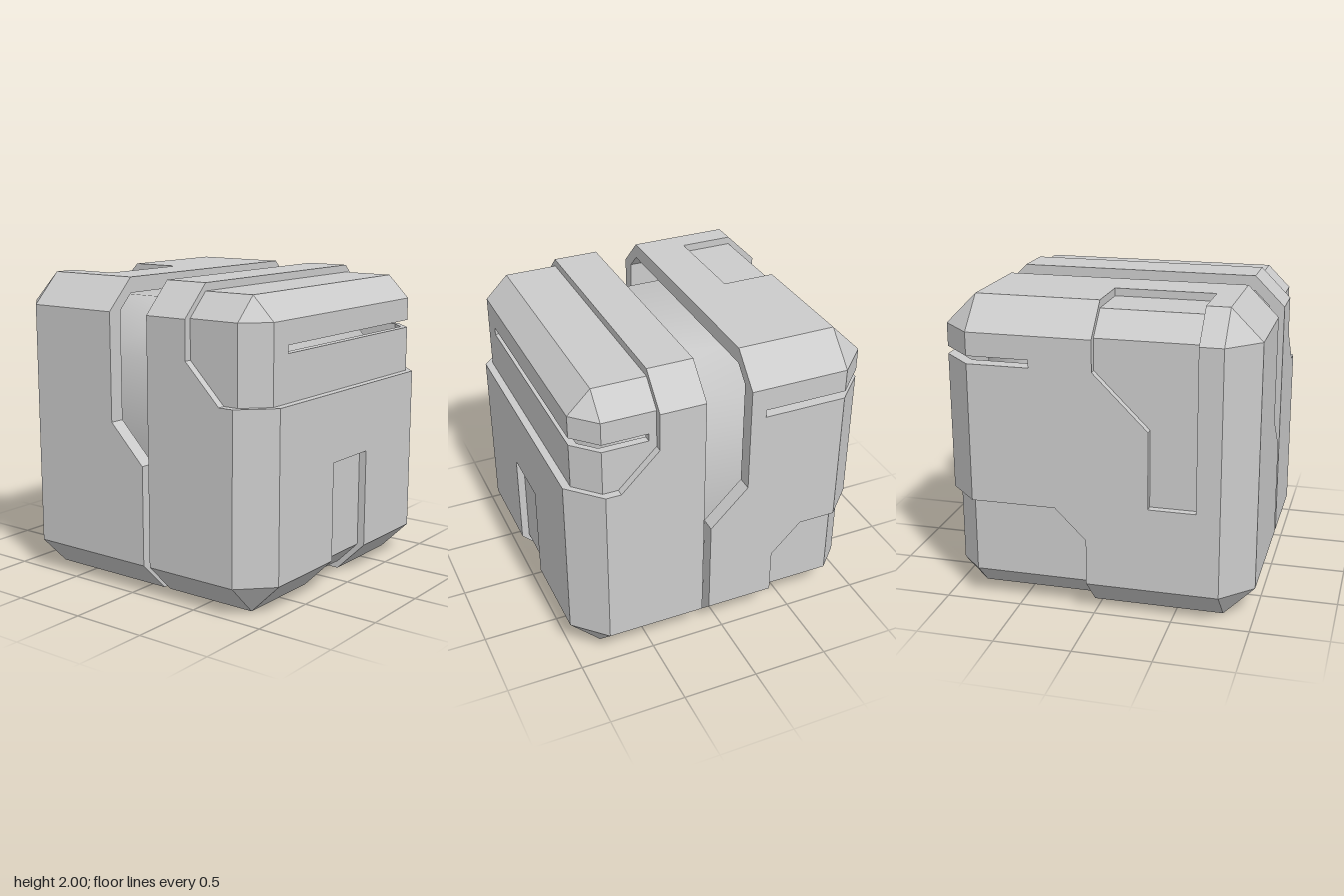
import * as THREE from 'three';
import { mergeVertices } from 'three/addons/utils/BufferGeometryUtils.js';
import { ConvexGeometry } from 'three/addons/geometries/ConvexGeometry.js';

const F = 0.8;        // half size of the flat part of every side
const INNER = 0.9;    // half size of the hollow inside the shell
const SUNK = 0.05;    // depth of the sunken panels

const shellMaterial = new THREE.MeshStandardMaterial({ color: 0xcccccc, flatShading: true });
const coreMaterial = new THREE.MeshStandardMaterial({ color: 0xcccccc });
const axes = [new THREE.Vector3(1, 0, 0), new THREE.Vector3(0, 1, 0), new THREE.Vector3(0, 0, 1)];

// Each side: u axis, v axis, normal, and the sign/shift that turns plan coordinates into u, v
const sides = {
  front: { u: [1, 0, 0], v: [0, 1, 0], n: [0, 0, 1], su: 1, sv: 1, dv: -1 },    // (x, y)
  back: { u: [-1, 0, 0], v: [0, 1, 0], n: [0, 0, -1], su: -1, sv: 1, dv: -1 },  // (x, y)
  left: { u: [0, 0, -1], v: [0, 1, 0], n: [1, 0, 0], su: -1, sv: 1, dv: -1 },   // (z, y)
  right: { u: [0, 0, 1], v: [0, 1, 0], n: [-1, 0, 0], su: 1, sv: 1, dv: -1 },   // (z, y)
  top: { u: [1, 0, 0], v: [0, 0, -1], n: [0, 1, 0], su: 1, sv: -1, dv: 0 },     // (x, z)
  bottom: { u: [1, 0, 0], v: [0, 0, 1], n: [0, -1, 0], su: 1, sv: 1, dv: 0 },   // (x, z)
};

function extrude(points, depth) {
  const shape = new THREE.Shape(points.map(p => new THREE.Vector2(...p)));
  return new THREE.ExtrudeGeometry(shape, { depth, bevelEnabled: false });
}

function add(parent, name, geometry, material = shellMaterial) {
  const mesh = new THREE.Mesh(geometry, material);
  mesh.name = name;
  parent.add(mesh);
}

// Flat plate on one side of the shell
function plate(parent, name, side, points, sunk = 0) {
  const s = sides[side];
  const g = extrude(points.map(([a, b]) => [a * s.su, b * s.sv + s.dv]), 1 - sunk - INNER);
  g.translate(0, 0, INNER);
  g.applyMatrix4(new THREE.Matrix4().makeBasis(
    new THREE.Vector3(...s.u), new THREE.Vector3(...s.v), new THREE.Vector3(...s.n)));
  add(parent, name, g);
}

// Bevel strip along axis k, in segments [from, to, sunk]; si, sj pick the edge
function bevel(parent, name, k, si, sj, segments) {
  const shift = k === 1 ? -1 : 0;
  for (const [a, b, sunk] of segments) {
    const o = 1 - sunk;
    const g = extrude([[si * o, sj * F], [si * F, sj * o], [si * F, sj * INNER], [si * INNER, sj * F]], b - a);
    g.translate(0, 0, a + shift);
    g.applyMatrix4(new THREE.Matrix4().makeBasis(axes[(k + 1) % 3], axes[(k + 2) % 3], axes[k]));
    add(parent, name, g);
  }
}

// Triangular corner piece
function corner(parent, sx, sy, sz, sunk) {
  const pts = [];
  for (const o of [1 - sunk, INNER]) {
    for (const p of [[o, F, F], [F, o, F], [F, F, o]]) {
      pts.push(new THREE.Vector3(p[0] * sx, p[1] * sy, p[2] * sz));
    }
  }
  add(parent, 'cornerBevel', new ConvexGeometry(pts));
}

const rect = (a, b, c, d) => [[a, b], [c, b], [c, d], [a, d]];

export function createModel() {
  const model = new THREE.Group();
  model.name = 'panelledCube';
  const body = new THREE.Group();
  body.name = 'body';
  body.position.y = 1;
  model.add(body);
  const frontShell = new THREE.Group();
  frontShell.name = 'frontShell';
  const rearShell = new THREE.Group();
  rearShell.name = 'rearShell';
  body.add(frontShell, rearShell);

  // Smooth inner core seen through the slot and slits
  const pts = [];
  for (const x of [-1, 1]) for (const y of [-1, 1]) for (const z of [-1, 1]) {
    for (const p of [[0.85, 0.5, 0.5], [0.5, 0.85, 0.5], [0.5, 0.5, 0.85]]) {
      pts.push(new THREE.Vector3(p[0] * x, p[1] * y, p[2] * z));
    }
  }
  let core = new ConvexGeometry(pts);
  core.deleteAttribute('normal');
  core = mergeVertices(core);
  core.computeVertexNormals();
  add(body, 'core', core, coreMaterial);

  // Front: lower plate, sunken doorway, sunken upper plate with slit
  plate(frontShell, 'frontPlate', 'front', [[-F, 0.2], [-0.2, 0.2], [-0.2, 0.85], [0.2, 0.85],
    [0.2, 0.2], [F, 0.2], [F, 1.3], [-F, 1.3]]);
  plate(frontShell, 'frontDoorway', 'front', rect(-0.2, 0.2, 0.2, 0.85), SUNK);
  plate(frontShell, 'frontUpperPlate', 'front', [[-F, 1.3], [F, 1.3], [F, 1.6], [-0.65, 1.6],
    [-0.65, 1.65], [F, 1.65], [F, 1.8], [-F, 1.8]], SUNK);

  // Sides: front halves, the left one with a slit
  const step = [[F, 1.3], [0.7, 1.3], [0.45, 1.55], [0.45, 1.8]];
  for (const side of ['left', 'right']) {
    plate(frontShell, side + 'FrontPlate', side, [[0.15, 0.2], [F, 0.2], ...step, [0.15, 1.8]]);
    const slit = side === 'left' ? [[F, 1.65], [0.5, 1.65], [0.5, 1.6], [F, 1.6]] : [];
    plate(frontShell, side + 'UpperPlate', side, [...step, [F, 1.8], ...slit], SUNK);
  }

  // Sides: rear halves, the left one with a slit and sunken corner
  const slotEdge = [[0.1, 0.2], [0.1, 0.85], [-0.15, 1.1], [-0.15, 1.8], [-F, 1.8]];
  const sideCut = [[-F, 0.7], [-0.55, 0.7], [-0.35, 0.5], [-0.35, 0.2]];
  plate(rearShell, 'rightRearPlate', 'right', [...slotEdge, [-F, 0.2]]);
  plate(rearShell, 'leftRearPlate', 'left', [...slotEdge, [-F, 1.65], [-0.25, 1.65],
    [-0.25, 1.6], [-F, 1.6], ...sideCut]);
  plate(rearShell, 'leftSunkenCorner', 'left', [...sideCut, [-F, 0.2]], SUNK);

  // Back: plate with slit, sunken corner and sunken channel
  const backCut = [[0.05, 0.2], [0.05, 0.5], [0.25, 0.7], [F, 0.7]];
  const channel = [[0, 1.8], [0, 1.6], [-0.35, 1.25], [-0.35, 0.75], [-0.65, 0.75], [-0.65, 1.8]];
  plate(rearShell, 'backPlate', 'back', [[-F, 0.2], ...backCut, [F, 1.6], [0.4, 1.6], [0.4, 1.65],
    [F, 1.65], [F, 1.8], ...channel, [-F, 1.8]]);
  plate(rearShell, 'backSunkenCorner', 'back', [...backCut, [F, 0.2]], SUNK);
  plate(rearShell, 'backChannel', 'back', channel, SUNK);

  // Top
  plate(frontShell, 'topFrontPlate', 'top', rect(-F, 0.45, F, F), SUNK);
  plate(frontShell, 'topBand', 'top', rect(-F, 0.15, F, 0.45));
  plate(rearShell, 'topRearPlate', 'top', [[-F, -0.15], [F, -0.15], [F, -F], [0, -F], [0, -0.45],
    [-0.65, -0.45], [-0.65, -F], [-F, -F]]);
  plate(rearShell, 'topChannel', 'top', rect(-0.65, -F, 0, -0.45), SUNK);

  // Bottom
  plate(frontShell, 'bottomFrontPlate', 'bottom', [[-F, 0.15], [F, 0.15], [F, F], [0.2, F],
    [0.2, 0.45], [-0.2, 0.45], [-0.2, F], [-F, F]]);
  plate(frontShell, 'bottomDoorway', 'bottom', rect(-0.2, 0.45, 0.2, F), SUNK);
  const bottomCut = [[F, -0.35], [0.3, -0.35], [0.05, -0.6], [0.05, -F]];
  plate(rearShell, 'bottomRearPlate', 'bottom', [[-F, 0.1], [F, 0.1], ...bottomCut, [-F, -F]]);
  plate(rearShell, 'bottomSunkenCorner', 'bottom', [...bottomCut, [F, -F]], SUNK);

  // Bevels running across
  bevel(frontShell, 'topFrontBevel', 0, 1, 1, [[-F, F, SUNK]]);
  bevel(rearShell, 'topBackBevel', 0, 1, -1, [[-F, -0.65, 0], [-0.65, 0, SUNK], [0, F, 0]]);
  bevel(frontShell, 'bottomFrontBevel', 0, -1, 1, [[-F, -0.2, 0], [-0.2, 0.2, SUNK], [0.2, F, 0]]);
  bevel(rearShell, 'bottomBackBevel', 0, -1, -1, [[-F, 0.05, 0], [0.05, F, SUNK]]);

  // Upright bevels, the left ones broken by the slits
  bevel(frontShell, 'frontLeftBevel', 1, 1, 1, [[0.2, 1.3, 0], [1.3, 1.6, SUNK], [1.65, 1.8, SUNK]]);
  bevel(frontShell, 'frontRightBevel', 1, 1, -1, [[0.2, 1.3, 0], [1.3, 1.8, SUNK]]);
  bevel(rearShell, 'backLeftBevel', 1, -1, 1, [[0.2, 0.7, SUNK], [0.7, 1.6, 0], [1.65, 1.8, 0]]);
  bevel(rearShell, 'backRightBevel', 1, -1, -1, [[0.2, 1.8, 0]]);

  // Bevels running front to back, broken by the slot
  for (const s of [-1, 1]) {
    bevel(frontShell, 'topSideFrontBevel', 2, s, 1, [[0.45, F, SUNK], [0.15, 0.45, 0]]);
    bevel(rearShell, 'topSideRearBevel', 2, s, 1, [[-F, -0.15, 0]]);
    bevel(frontShell, 'bottomSideFrontBevel', 2, s, -1, [[0.15, F, 0]]);
    bevel(rearShell, 'bottomSideRearBevel', 2, s, -1, [[-F, -0.35, s > 0 ? SUNK : 0], [-0.35, 0.1, 0]]);
    corner(frontShell, s, 1, 1, SUNK);
    corner(frontShell, s, -1, 1, 0);
    corner(rearShell, s, 1, -1, 0);
    corner(rearShell, s, -1, -1, s > 0 ? SUNK : 0);
  }
  return model;
}
